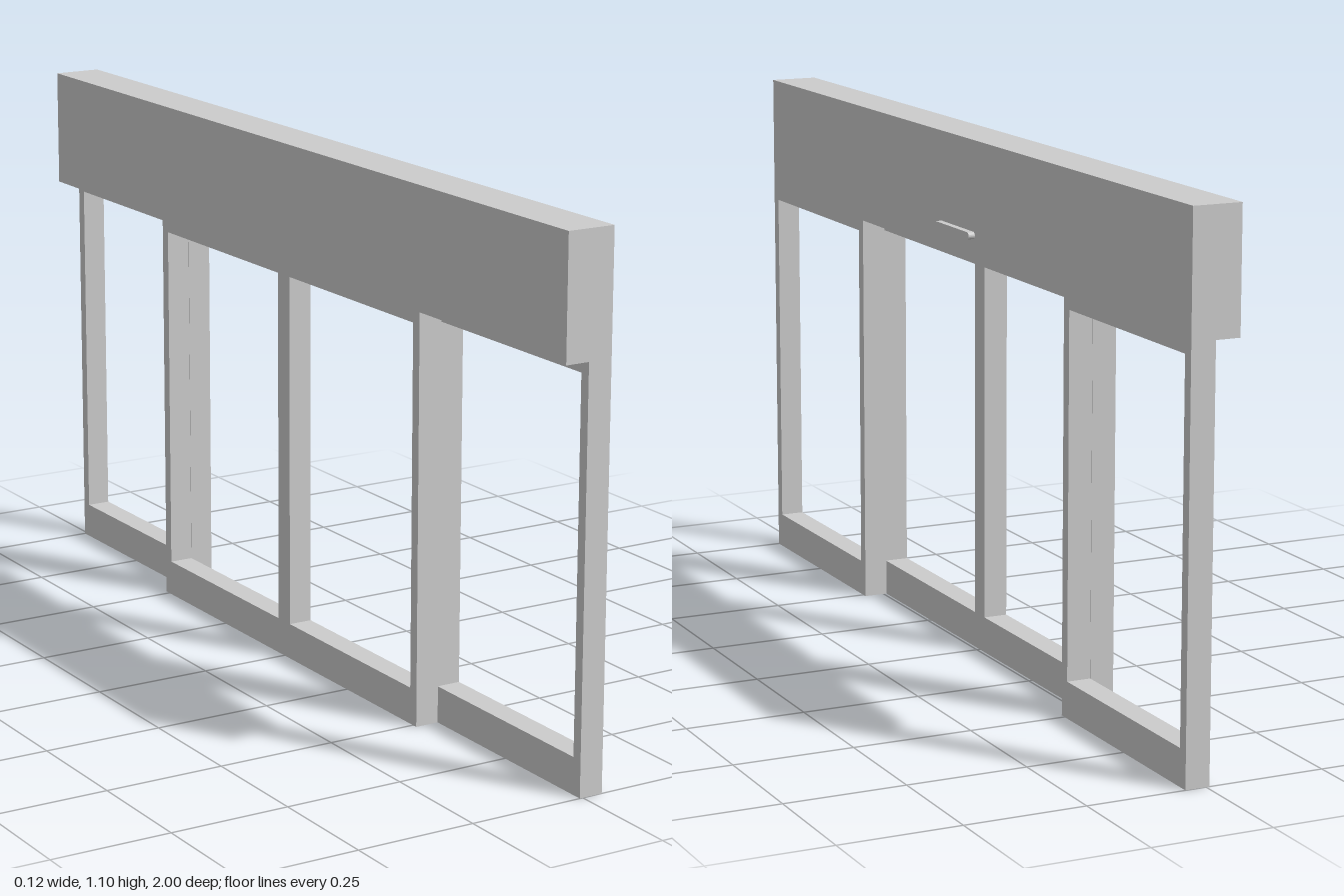
import * as THREE from 'three';

const GREY = new THREE.MeshStandardMaterial({ color: 0xcccccc });

// Depth layers along x: inner track, outer track, sensor face
const X_BACK = -0.058, X_MID = -0.007, X_FRONT = 0.044, X_SENSOR = 0.058;
const LEAF_TOP = 0.85, HEIGHT = 1.1;
const LEAF_W = 0.512, STILE = 0.023, TOP_RAIL = 0.025, BOTTOM_RAIL = 0.076;

function addMesh(parent, name, geometry) {
  const mesh = new THREE.Mesh(geometry, GREY);
  mesh.name = name;
  parent.add(mesh);
  return mesh;
}

// Extrudes a (z, y) outline along x between two depths
function extrudeAlongX(shape, x0, x1, curveSegments = 8) {
  const geometry = new THREE.ExtrudeGeometry(shape, { depth: x1 - x0, bevelEnabled: false, curveSegments });
  geometry.rotateY(Math.PI / 2);
  geometry.translate(x0, 0, 0);
  return geometry;
}

function rectangle(path, u0, v0, u1, v1) {
  path.moveTo(u0, v0);
  path.lineTo(u1, v0);
  path.lineTo(u1, v1);
  path.lineTo(u0, v1);
  path.closePath();
  return path;
}

// Open door leaf frame, starting at z0
function addLeaf(parent, name, z0, x0, x1) {
  // the extrusion turns shape x into -z
  const u0 = -z0 - LEAF_W, u1 = -z0;
  const frame = rectangle(new THREE.Shape(), u0, 0, u1, LEAF_TOP);
  frame.holes.push(rectangle(new THREE.Path(), u0 + STILE, BOTTOM_RAIL, u1 - STILE, LEAF_TOP - TOP_RAIL));
  addMesh(parent, name, extrudeAlongX(frame, x0, x1));
}

export function createModel() {
  const model = new THREE.Group();
  model.name = 'slidingDoor';

  // Header box housing the door drive
  const header = addMesh(model, 'header', new THREE.BoxGeometry(X_FRONT - X_BACK, HEIGHT - LEAF_TOP, 2));
  header.position.set((X_BACK + X_FRONT) / 2, (HEIGHT + LEAF_TOP) / 2, 0);

  // Fixed outer leaves on the sensor side, sliding leaves behind them
  addLeaf(model, 'fixedLeafFront', 1 - LEAF_W, X_MID, X_FRONT);
  addLeaf(model, 'fixedLeafBack', -1, X_MID, X_FRONT);
  addLeaf(model, 'slidingLeafFront', 0, X_BACK, X_MID);
  addLeaf(model, 'slidingLeafBack', -LEAF_W, X_BACK, X_MID);

  // Slim motion sensor with rounded ends
  const r = 0.0075, half = 0.084 - r, y = 0.904;
  const pill = new THREE.Shape();
  pill.absarc(half, y, r, -Math.PI / 2, Math.PI / 2, false);
  pill.absarc(-half, y, r, Math.PI / 2, Math.PI * 1.5, false);
  pill.closePath();
  addMesh(model, 'sensor', extrudeAlongX(pill, X_FRONT, X_SENSOR));

  return model;
}
